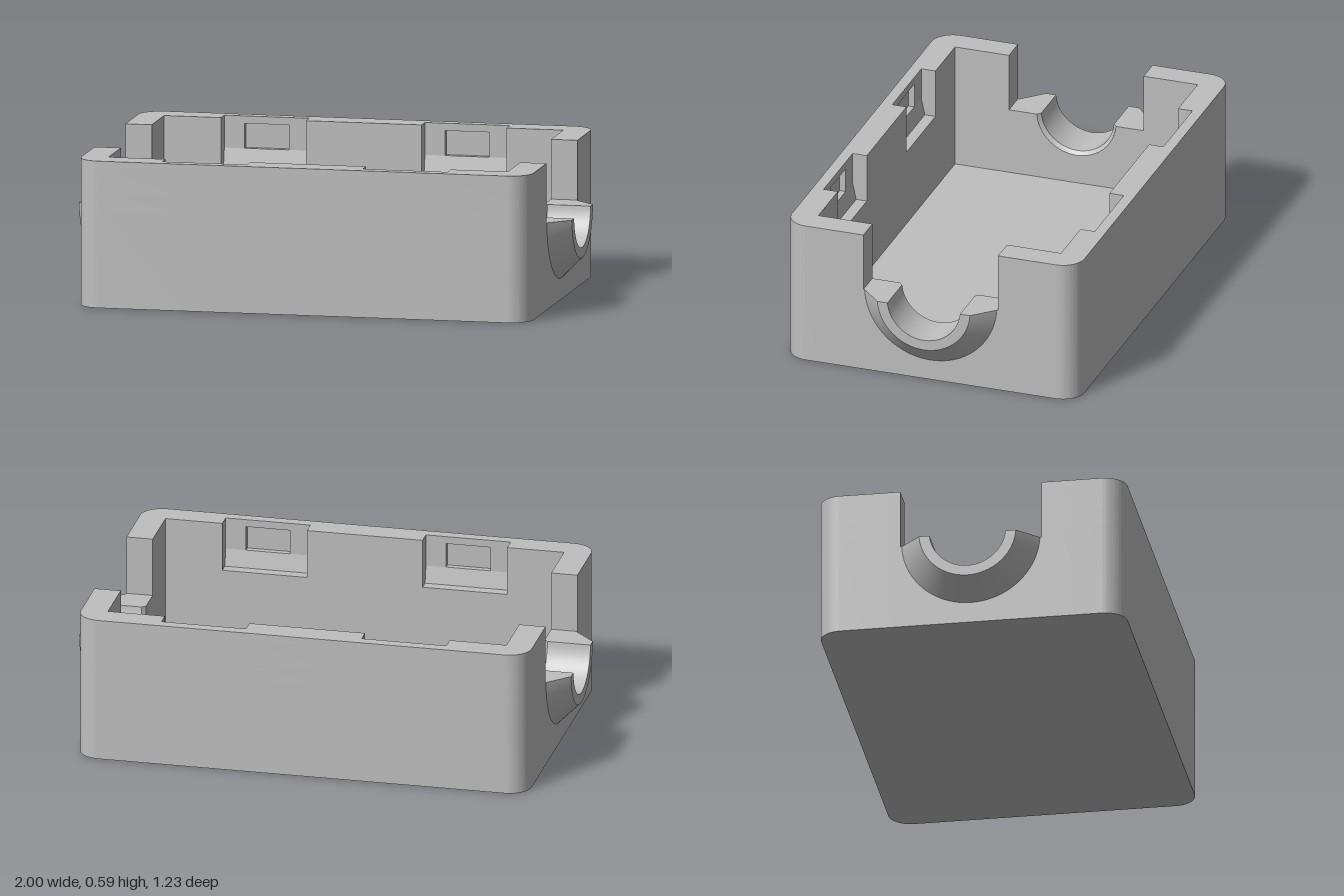
import * as THREE from 'three';
import { toCreasedNormals } from 'three/addons/utils/BufferGeometryUtils.js';

const X = 0.917, Z = 0.615, R = 0.09;       // outer half sizes and corner radius
const IX = 0.81, IZ = 0.51;                 // inner half sizes
const H = 0.59, FLOOR = 0.075;
const GAP = 0.283, SILL = 0.35;             // cable opening half width and height
const BORE_Y = 0.363, BORE_R = 0.153, CHAMFER_R = 0.167;

const gray = new THREE.MeshStandardMaterial({ color: 0xbfbfbf });
gray.name = 'gray plastic';

function mesh(name, geometry, parent) {
  const m = new THREE.Mesh(toCreasedNormals(geometry, 0.5), gray);
  m.name = name;
  parent.add(m);
  return m;
}

const extrude = (shape, depth) =>
  new THREE.ExtrudeGeometry(shape, { depth, bevelEnabled: false, curveSegments: 24 });

// Plan of one long wall with its two rounded corners, optionally with clip pockets and slots
function wallPlan(pocket, slot) {
  const s = new THREE.Shape();
  s.moveTo(X, GAP);
  s.lineTo(X, Z - R);
  s.absarc(X - R, Z - R, R, 0, Math.PI / 2, false);
  s.lineTo(-X + R, Z);
  s.absarc(-X + R, Z - R, R, Math.PI / 2, Math.PI, false);
  s.lineTo(-X, GAP);
  s.lineTo(-IX, GAP);
  s.lineTo(-IX, IZ);
  if (pocket) for (const c of [-0.407, 0.407]) {
    s.lineTo(c - 0.172, IZ);
    s.lineTo(c - 0.172, 0.57);
    if (slot) {
      s.lineTo(c - 0.09, 0.57);
      s.lineTo(c - 0.09, 0.595);
      s.lineTo(c + 0.09, 0.595);
      s.lineTo(c + 0.09, 0.57);
    }
    s.lineTo(c + 0.172, 0.57);
    s.lineTo(c + 0.172, IZ);
  }
  s.lineTo(IX, IZ);
  s.lineTo(IX, GAP);
  s.closePath();
  return s;
}

function longWall(name) {
  const g = new THREE.Group();
  g.name = name;
  const layers = [
    [0, 0.39, false, false], [0.39, 0.46, true, false],
    [0.46, 0.56, true, true], [0.56, H, true, false],
  ];
  for (const [y0, y1, pocket, slot] of layers) {
    const geo = extrude(wallPlan(pocket, slot), y1 - y0).rotateX(-Math.PI / 2).translate(0, y0, 0);
    mesh('wallLayer', geo, g);
  }
  // Sloped lip at the foot of each pocket
  for (const c of [-0.407, 0.407]) {
    const s = new THREE.Shape();
    s.moveTo(0.555, 0.39);
    s.lineTo(0.57, 0.39);
    s.lineTo(0.57, 0.46);
    s.closePath();
    mesh('pocketLip', extrude(s, 0.344).rotateY(Math.PI / 2).translate(c - 0.172, 0, 0), g);
  }
  return g;
}

// Half-round tapered collar, swept from a closed (x, radius) section and cut flat at the sill
function collarGeometry() {
  const section = [[X, CHAMFER_R], [IX, CHAMFER_R], [IX + 0.015, BORE_R], [1, BORE_R], [1, 0.195], [X, 0.278]];
  const n = 40, pos = [];
  const point = ([x, r], i) => {
    const a0 = Math.asin((BORE_Y - SILL) / r);
    const a = a0 + (Math.PI - 2 * a0) * i / n;
    return [x, BORE_Y - r * Math.sin(a), r * Math.cos(a)];
  };
  const tri = (a, b, c) => pos.push(...a, ...b, ...c);
  for (let k = 0; k < section.length; k++) {
    const p = section[k], q = section[(k + 1) % section.length];
    for (let i = 0; i < n; i++) {
      const a = point(p, i), b = point(q, i), c = point(q, i + 1), d = point(p, i + 1);
      tri(a, c, b);
      tri(a, d, c);
    }
  }
  // Flat top faces
  for (let k = 1; k < section.length - 1; k++) {
    const f = [section[0], section[k], section[k + 1]];
    tri(...f.map(p => point(p, 0)));
    tri(...f.map(p => point(p, n)).reverse());
  }
  const geo = new THREE.BufferGeometry();
  geo.setAttribute('position', new THREE.Float32BufferAttribute(pos, 3));
  // Turn the faces outward if the signed volume is negative
  let volume = 0;
  const a = new THREE.Vector3(), b = new THREE.Vector3(), c = new THREE.Vector3();
  for (let i = 0; i < pos.length; i += 9) {
    a.fromArray(pos, i); b.fromArray(pos, i + 3); c.fromArray(pos, i + 6);
    volume += a.dot(b.cross(c));
  }
  if (volume < 0) {
    const p = geo.attributes.position;
    for (let i = 0; i < p.count; i += 3) {
      a.fromBufferAttribute(p, i); b.fromBufferAttribute(p, i + 1);
      p.setXYZ(i, b.x, b.y, b.z);
      p.setXYZ(i + 1, a.x, a.y, a.z);
    }
  }
  return geo;
}

// Low end wall with the cable cradle
function cableEnd(name) {
  const g = new THREE.Group();
  g.name = name;
  const a0 = Math.asin((BORE_Y - SILL) / CHAMFER_R);
  const s = new THREE.Shape();
  s.moveTo(-GAP, SILL);
  s.lineTo(-GAP, 0);
  s.lineTo(GAP, 0);
  s.lineTo(GAP, SILL);
  s.absarc(0, BORE_Y, CHAMFER_R, -a0, -Math.PI + a0, true);
  s.closePath();
  mesh('endWall', extrude(s, X - IX).rotateY(Math.PI / 2).translate(IX, 0, 0), g);
  mesh('cableCollar', collarGeometry(), g);
  return g;
}

export function createModel() {
  const model = new THREE.Group();
  model.name = 'cableBoxBase';
  mesh('floor', new THREE.BoxGeometry(2 * IX, FLOOR, 2 * IZ).translate(0, FLOOR / 2, 0), model);

  const front = longWall('frontWall');
  front.rotation.y = Math.PI;
  const right = cableEnd('rightCableEnd');
  right.rotation.y = Math.PI;
  model.add(longWall('backWall'), front, cableEnd('leftCableEnd'), right);
  return model;
}
